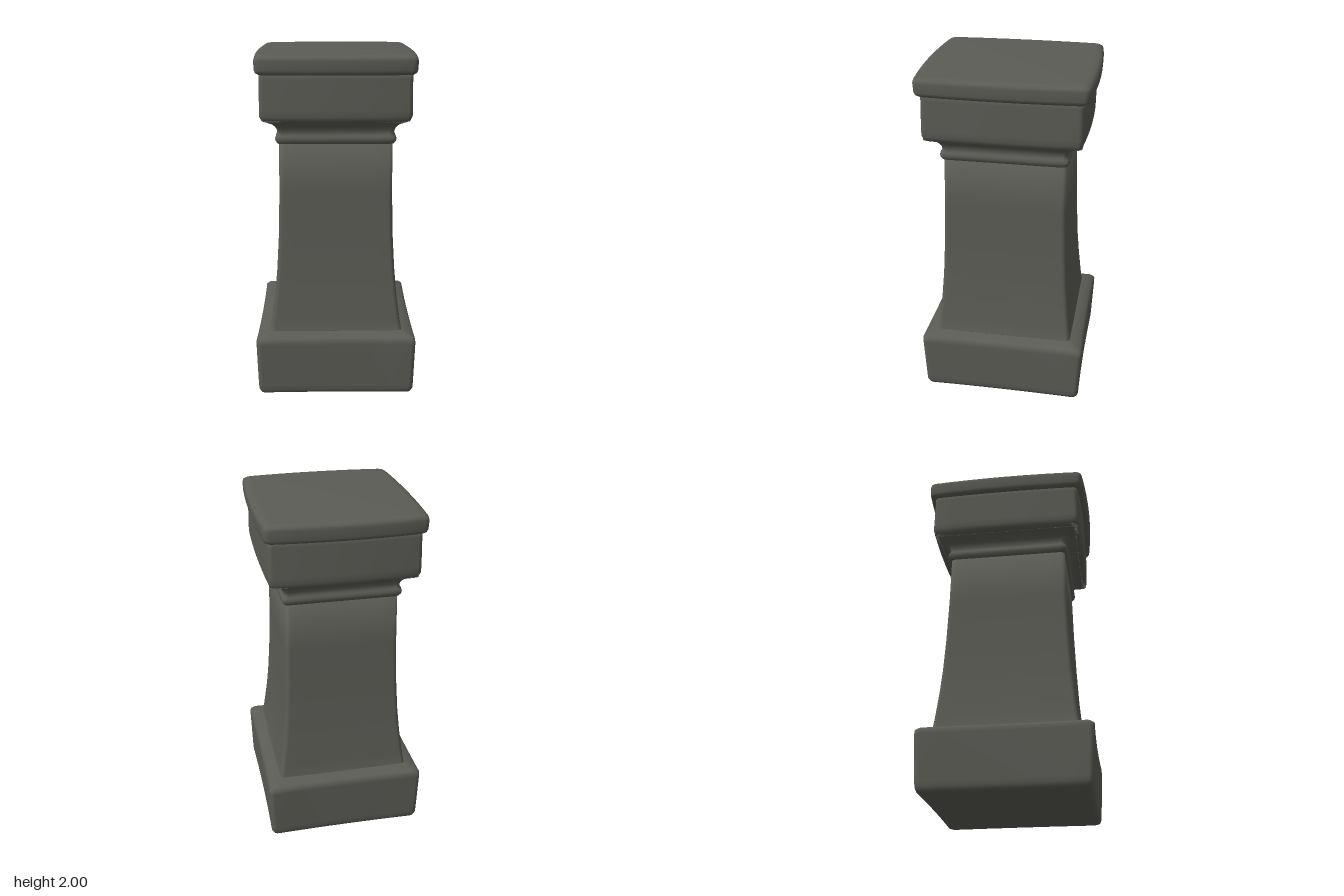
import * as THREE from 'three';

const SIDE = 8;   // steps along each straight side
const ARC = 4;    // steps around each corner

// Rounded rectangle, counter-clockwise seen from above, with bowed sides.
// bow > 0 swells the middle of each side, bow < 0 pinches it.
function ring([y, hx, hz, r], bowX, bowZ) {
  const corners = [[1, 1], [-1, 1], [-1, -1], [1, -1]];
  const pts = [];
  corners.forEach(([sx, sy], c) => {
    for (let k = 0; k <= ARC; k++) {
      const t = (c + k / ARC) * Math.PI / 2;
      pts.push([sx * (hx - r) + r * Math.cos(t), sy * (hz - r) + r * Math.sin(t)]);
    }
    const [nx, ny] = corners[(c + 1) % 4];
    const t = (c + 1) * Math.PI / 2;
    const a = pts[pts.length - 1];
    const b = [nx * (hx - r) + r * Math.cos(t), ny * (hz - r) + r * Math.sin(t)];
    for (let k = 1; k < SIDE; k++) {
      const f = k / SIDE;
      pts.push([a[0] + (b[0] - a[0]) * f, a[1] + (b[1] - a[1]) * f]);
    }
  });
  const bend = (bow, u) => 1 - Math.max(bow, 0) * u * u + Math.min(bow, 0) * (1 - u * u);
  return pts.map(([x, z]) => [x * bend(bowX, z / hz), y, -z * bend(bowZ, x / hx)]);
}

// Closed solid lofted through rows of [y, halfWidth, halfDepth, cornerRadius]
function loft(name, rows, material, bowX = 0, bowZ = 0) {
  const rings = rows.map(row => ring(row, bowX, bowZ));
  const n = rings[0].length;
  const index = [];
  for (let j = 0; j < rings.length - 1; j++) {
    for (let i = 0; i < n; i++) {
      const a = j * n + i, b = j * n + (i + 1) % n;
      index.push(a, b, b + n, a, b + n, a + n);
    }
  }
  const bottom = rings.length * n, top = bottom + 1, last = bottom - n;
  for (let i = 0; i < n; i++) {
    const k = (i + 1) % n;
    index.push(bottom, k, i, top, last + i, last + k);
  }
  const pos = [...rings.flat(2), 0, rows[0][0], 0, 0, rows[rows.length - 1][0], 0];
  const geo = new THREE.BufferGeometry();
  geo.setAttribute('position', new THREE.Float32BufferAttribute(pos, 3));
  geo.setIndex(index);
  geo.computeVertexNormals();
  const mesh = new THREE.Mesh(geo, material);
  mesh.name = name;
  return mesh;
}

export function createModel() {
  const stone = new THREE.MeshStandardMaterial({ color: 0x5c5c56 });
  stone.name = 'dark grey stone';
  const group = new THREE.Group();
  group.name = 'pillar';

  // Heavy base block, slightly wider at its top
  group.add(loft('plinth', [
    [0, 0.40, 0.42, 0.02], [0, 0.43, 0.45, 0.025], [0.008, 0.448, 0.467, 0.03],
    [0.03, 0.458, 0.476, 0.03], [0.06, 0.46, 0.478, 0.03], [0.32, 0.467, 0.49, 0.03],
    [0.345, 0.465, 0.49, 0.03], [0.36, 0.452, 0.475, 0.03], [0.37, 0.42, 0.445, 0.03],
    [0.378, 0.395, 0.415, 0.03], [0.385, 0.36, 0.38, 0.02],
  ], stone, -0.015, -0.015));

  // Tapering shaft with a flared foot
  group.add(loft('shaft', [
    [0.36, 0.40, 0.42, 0.025], [0.38, 0.387, 0.407, 0.025], [0.45, 0.376, 0.399, 0.025],
    [0.6, 0.356, 0.384, 0.025], [0.75, 0.342, 0.372, 0.025], [0.95, 0.33, 0.362, 0.025],
    [1.2, 0.323, 0.353, 0.025], [1.5, 0.32, 0.347, 0.025],
  ], stone));

  // Rounded bead below the capital, then a hollow curve out to the block
  group.add(loft('collar', [
    [1.485, 0.31, 0.337, 0.02], [1.49, 0.328, 0.355, 0.025], [1.505, 0.339, 0.365, 0.03],
    [1.52, 0.341, 0.367, 0.03], [1.535, 0.336, 0.362, 0.03], [1.545, 0.327, 0.354, 0.025],
    [1.565, 0.329, 0.357, 0.025], [1.585, 0.339, 0.368, 0.025], [1.603, 0.355, 0.385, 0.025],
    [1.618, 0.385, 0.415, 0.025], [1.63, 0.41, 0.44, 0.025],
  ], stone));

  // Square capital block
  group.add(loft('capitalBlock', [
    [1.618, 0.37, 0.40, 0.02], [1.622, 0.405, 0.435, 0.025], [1.632, 0.42, 0.452, 0.025],
    [1.655, 0.43, 0.461, 0.025], [1.69, 0.431, 0.462, 0.025], [1.86, 0.428, 0.458, 0.025],
    [1.9, 0.428, 0.458, 0.025],
  ], stone, 0.025, 0.04));

  // Overhanging top slab with a gentle crown
  group.add(loft('topSlab', [
    [1.88, 0.40, 0.43, 0.02], [1.883, 0.435, 0.47, 0.025], [1.893, 0.45, 0.488, 0.03],
    [1.91, 0.456, 0.494, 0.03], [1.96, 0.458, 0.497, 0.03], [1.978, 0.453, 0.492, 0.03],
    [1.988, 0.437, 0.476, 0.03], [1.992, 0.41, 0.45, 0.03], [1.997, 0.25, 0.27, 0.03],
    [2, 0.1, 0.11, 0.03],
  ], stone, 0.035, 0.05));

  return group;
}
